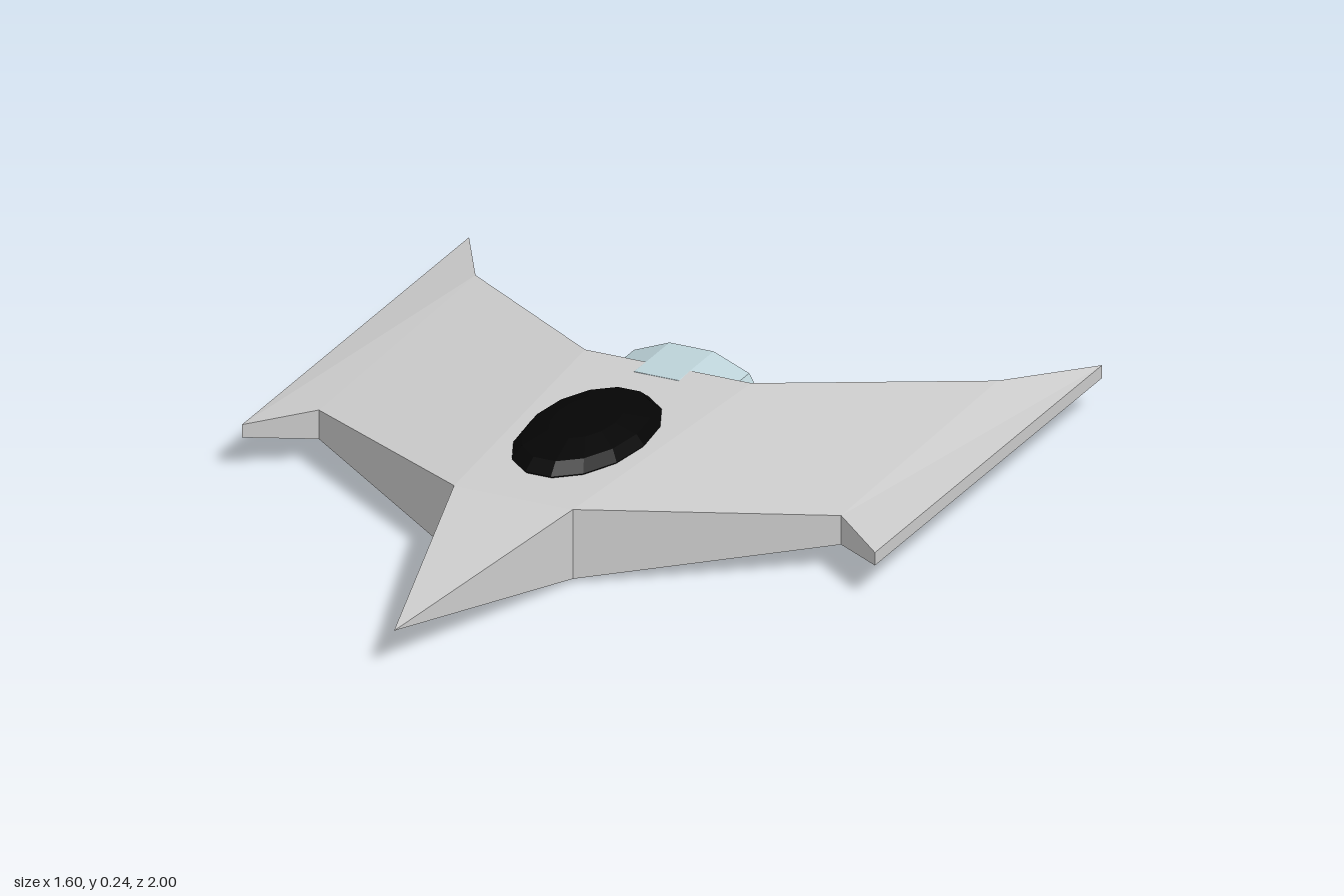
import * as THREE from 'three';

const MID = 0.096; // height of the hull's centre plane

function part(name, geometry, color) {
  const material = new THREE.MeshStandardMaterial({ color, flatShading: true });
  const mesh = new THREE.Mesh(geometry, material);
  mesh.name = name;
  return mesh;
}

// Hull: an outline of [x, z, half thickness], capped above and below and walled round the rim
function hullGeometry() {
  const half = [
    [0.15, 0.39, 0.086], [0.66, 0.05, 0.036], [0.8, 0.16, 0.016],
    [0.8, -1, 0.016], [0.66, -0.75, 0.05], [0.21, -0.4, 0.095],
  ];
  const outline = [[0, 1, 0], ...half, ...half.map(([x, z, h]) => [-x, z, h]).reverse()];
  const panels = [
    [0, 1, 12],                     // nose
    [1, 6, 7, 12],                  // body
    [1, 2, 5, 6], [7, 8, 11, 12],   // wings
    [2, 3, 4, 5], [8, 9, 10, 11],   // wing tips
  ];
  const positions = [];
  const corner = (i, side) => [outline[i][0], MID + side * outline[i][2], outline[i][1]];
  const face = (points) => {
    for (let k = 1; k < points.length - 1; k++) positions.push(...points[0], ...points[k], ...points[k + 1]);
  };
  for (const panel of panels) {
    face(panel.map((i) => corner(i, 1)));
    face([...panel].reverse().map((i) => corner(i, -1)));
  }
  outline.forEach((_, i) => {
    const j = (i + 1) % outline.length;
    // the walls meet in a point at the nose
    if (i === 0) face([corner(i, 0), corner(j, -1), corner(j, 1)]);
    else if (j === 0) face([corner(i, -1), corner(j, 0), corner(i, 1)]);
    else face([corner(i, -1), corner(j, -1), corner(j, 1), corner(i, 1)]);
  });
  const geometry = new THREE.BufferGeometry();
  geometry.setAttribute('position', new THREE.Float32BufferAttribute(positions, 3));
  geometry.computeVertexNormals();
  return geometry;
}

export function createModel() {
  const model = new THREE.Group();
  model.name = 'spaceship';

  model.add(part('hull', hullGeometry(), 0xcccccc));

  // Canopy: flattened dome on the deck
  const dome = new THREE.SphereGeometry(1, 14, 4, 0, Math.PI * 2, 0, Math.PI * 2 / 3);
  const canopy = part('canopy', dome, 0x050505);
  canopy.scale.set(0.145, 0.05, 0.256);
  canopy.position.set(0, 0.189, 0.015);
  model.add(canopy);

  // Engine: ten-sided oval barrel with a tapered back end
  const profile = [[0, 0.3], [0.18, 0.34], [0.18, 0.52], [0.09, 0.585], [0, 0.585]]
    .map(([r, y]) => new THREE.Vector2(r, y));
  const barrel = new THREE.LatheGeometry(profile, 10, Math.PI / 2);
  barrel.rotateX(-Math.PI / 2);
  barrel.scale(1, 0.555, 1);
  const engine = part('engine', barrel, 0xbcd2d8);
  engine.position.y = MID;
  model.add(engine);

  // Exhaust: dark oval plate on the engine's back
  const plate = new THREE.CylinderGeometry(0.078, 0.078, 0.01, 24);
  plate.rotateX(Math.PI / 2);
  plate.scale(1, 0.555, 1);
  const exhaust = part('exhaust', plate, 0x050505);
  exhaust.position.set(0, MID, -0.583);
  model.add(exhaust);

  return model;
}
